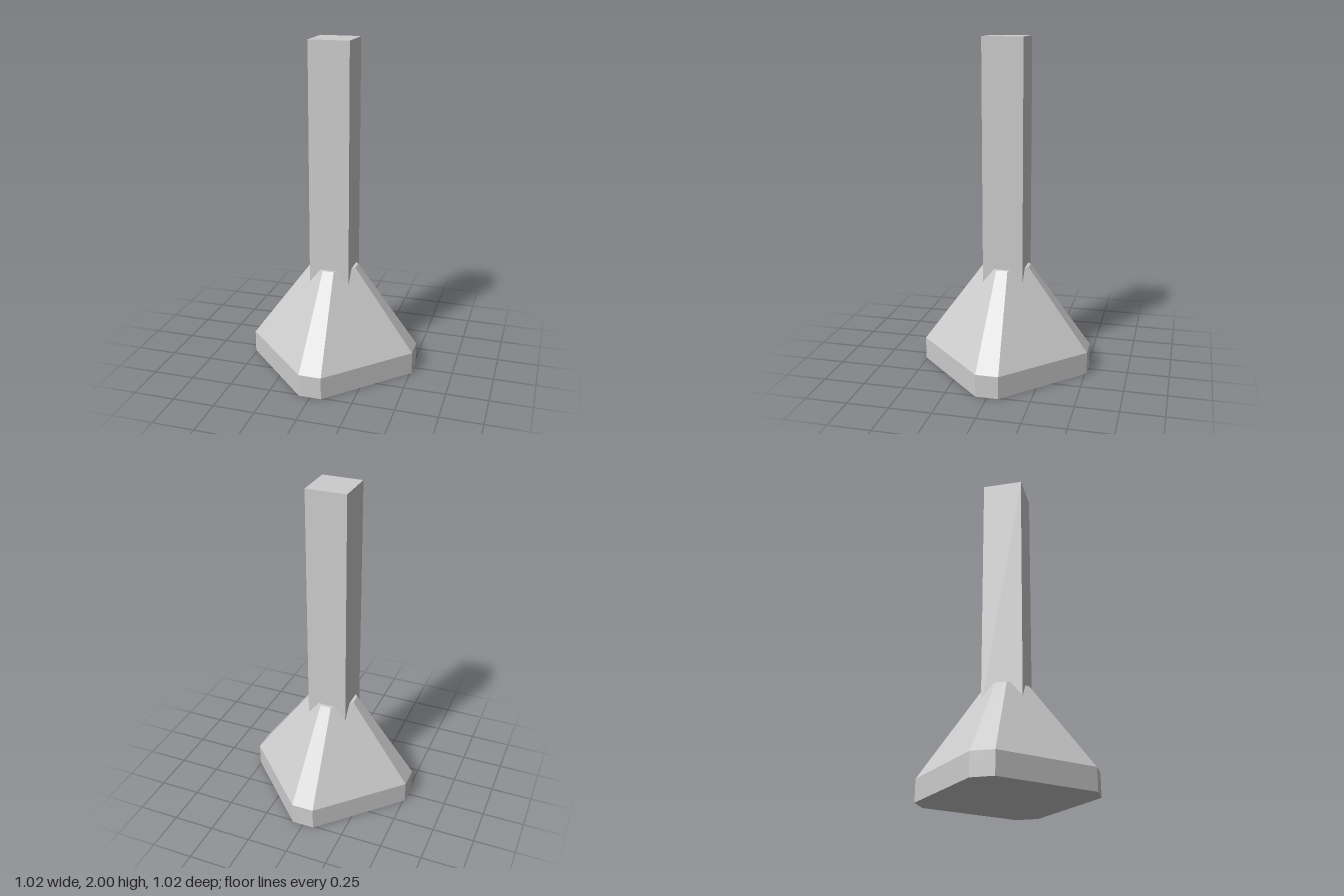
import * as THREE from 'three';

// Square turned 45 degrees with cut corners: a = half corner width, b = reach.
// Points run counter-clockwise as seen from above.
function ring(a, b, y) {
  return [[-a, b], [a, b], [b, a], [b, -a], [a, -b], [-a, -b], [-b, -a], [-b, a]]
    .map(([x, z]) => [x, y, z]);
}

// Closed, flat-faced solid through a stack of rings, bottom to top.
function loft(rings) {
  const pos = [];
  const tri = (...points) => points.forEach((p) => pos.push(...p));
  const n = rings[0].length;
  const low = rings[0], high = rings[rings.length - 1];
  for (let i = 0; i < n; i++) {
    const j = (i + 1) % n;
    for (let r = 0; r < rings.length - 1; r++) {
      const lower = rings[r], upper = rings[r + 1];
      tri(lower[i], lower[j], upper[j]);
      tri(lower[i], upper[j], upper[i]);
    }
    tri([0, low[0][1], 0], low[j], low[i]);
    tri([0, high[0][1], 0], high[i], high[j]);
  }
  const geometry = new THREE.BufferGeometry();
  geometry.setAttribute('position', new THREE.Float32BufferAttribute(pos, 3));
  geometry.computeVertexNormals();
  return geometry;
}

export function createModel() {
  const group = new THREE.Group();
  group.name = 'footedPost';
  const concrete = new THREE.MeshStandardMaterial({ color: 0xcccccc });
  concrete.name = 'light grey';

  // Footing: short upright plinth, then a taper up to the post
  const footing = new THREE.Mesh(
    loft([ring(0.067, 0.51, 0), ring(0.067, 0.51, 0.135), ring(0.034, 0.14, 0.64)]),
    concrete
  );
  footing.name = 'footing';

  // Square post, its lower end sunk into the footing
  const bottom = 0.5, top = 2;
  const post = new THREE.Mesh(new THREE.BoxGeometry(0.242, top - bottom, 0.242), concrete);
  post.position.y = (top + bottom) / 2;
  post.name = 'post';

  group.add(footing, post);
  return group;
}
